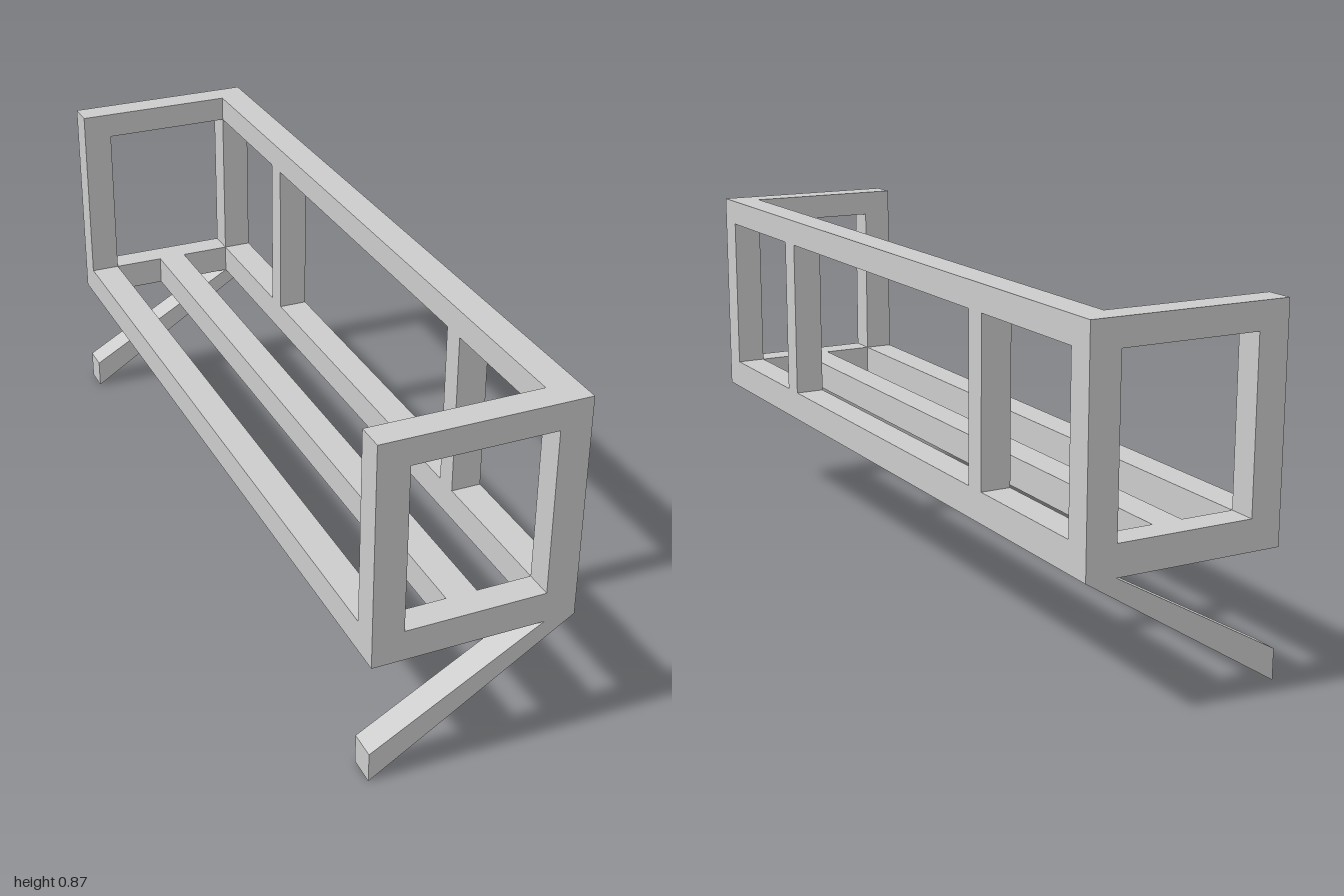
import * as THREE from 'three';

const material = new THREE.MeshStandardMaterial({ color: 0xcccccc, flatShading: true });

// Main dimensions
const W = 0.248, IN = 0.172;          // outer and inner half width
const Y0 = 0.312, Y1 = 0.388;         // bottom rails
const Y2 = 0.8, Y3 = 0.866;           // top rail
const Z0 = 0.93, Z1 = 1;              // end frames

export function createModel() {
  const model = new THREE.Group();

  const add = (name, geometry) => {
    const mesh = new THREE.Mesh(geometry, material);
    mesh.name = name;
    model.add(mesh);
    return mesh;
  };

  // Box given by its limits on each axis
  const bar = (name, x0, x1, y0, y1, z0, z1) =>
    add(name, new THREE.BoxGeometry(x1 - x0, y1 - y0, z1 - z0))
      .position.set((x0 + x1) / 2, (y0 + y1) / 2, (z0 + z1) / 2);

  const polygon = (points) => points.map(([x, y]) => new THREE.Vector2(x, y));

  // Rectangular end frame with an open middle
  const frame = new THREE.Shape(polygon([[-W, Y0], [W, Y0], [W, Y3], [-W, Y3]]));
  frame.holes.push(new THREE.Path(polygon([[-IN, Y1], [-IN, Y2], [IN, Y2], [IN, Y1]])));

  // Slanted leg running from the lower corner to the ground
  const leg = new THREE.Shape(polygon([[-W, 0], [W, Y0], [IN, Y0], [-W, 0.075]]));

  const options = { depth: Z1 - Z0, bevelEnabled: false };
  for (const [end, z] of [['front', Z0], ['back', -Z1]]) {
    add(end + 'Frame', new THREE.ExtrudeGeometry(frame, options)).position.z = z;
    add(end + 'Leg', new THREE.ExtrudeGeometry(leg, options)).position.z = z;
  }

  // Long rails: three at the bottom, one at the top of the left side
  bar('rightBottomRail', -W, -IN, Y0, Y1, -Z0, Z0);
  bar('middleBottomRail', -0.038, 0.038, Y0, Y1, -Z0, Z0);
  bar('leftBottomRail', IN, W, Y0, Y1, -Z0, Z0);
  bar('topRail', IN, W, Y2, Y3, -Z0, Z0);

  // Uprights between the top rail and the rail below it
  bar('frontUpright', IN, W, Y1, Y2, 0.495, 0.555);
  bar('backUpright', IN, W, Y1, Y2, -0.555, -0.495);

  return model;
}
